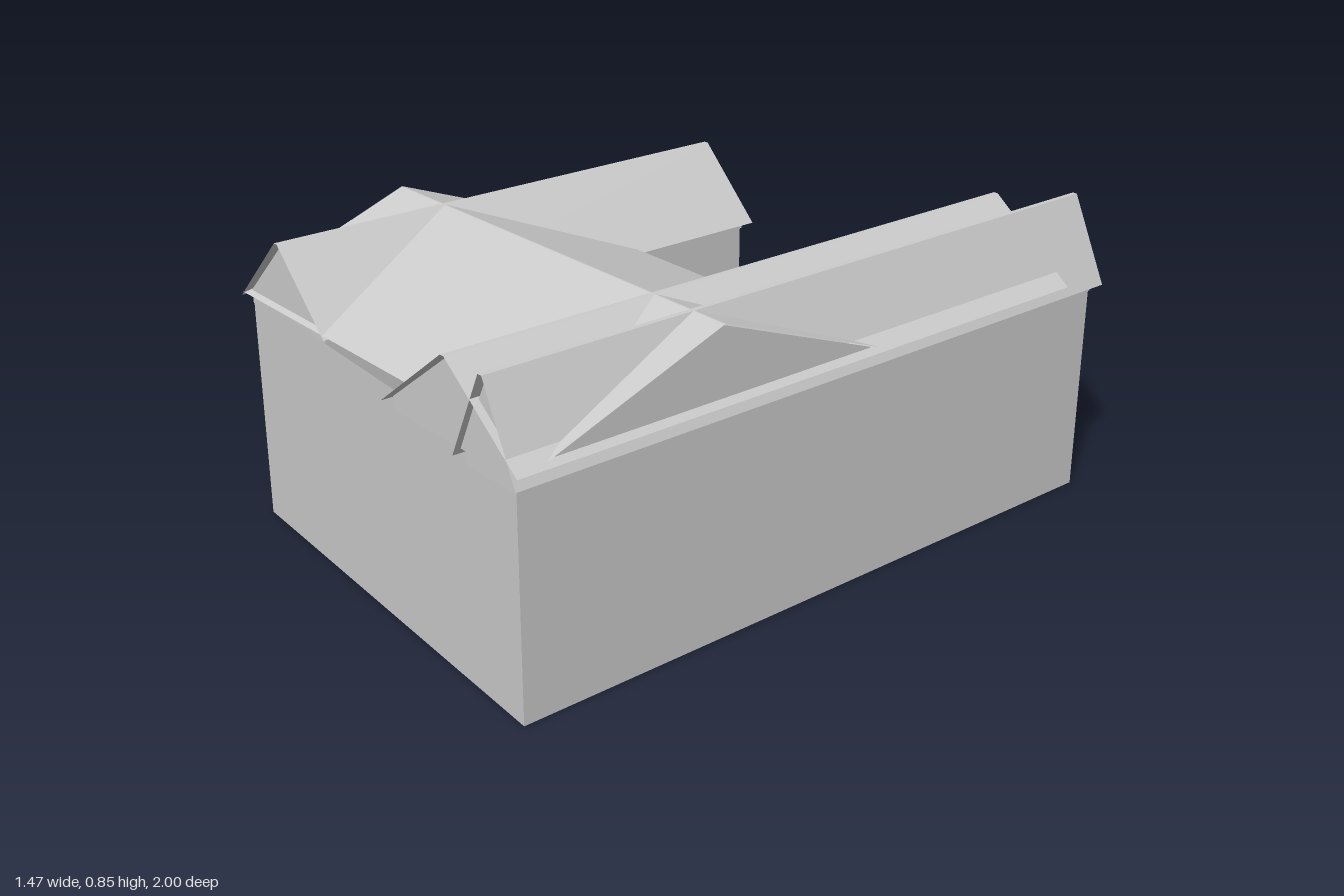
import * as THREE from 'three';

const material = new THREE.MeshStandardMaterial({ color: 0xcccccc, flatShading: true, side: THREE.DoubleSide });
const RIDGE = 0.845;

// Flat polygons (counter-clockwise from outside), each fanned into triangles
function polygons(name, faces) {
  const pos = [];
  for (const f of faces)
    for (let i = 1; i < f.length - 1; i++) pos.push(...f[0], ...f[i], ...f[i + 1]);
  const geo = new THREE.BufferGeometry();
  geo.setAttribute('position', new THREE.Float32BufferAttribute(pos, 3));
  geo.computeVertexNormals();
  const mesh = new THREE.Mesh(geo, material);
  mesh.name = name;
  return mesh;
}

// Gabled roof running along z: open slopes with a narrow flat ridge, and gable walls set in from both ends
function gableRoof(name, { center, half, eave, back, front, cap = 0.007, inset = 0.02 }) {
  const group = new THREE.Group();
  group.name = name;
  const profile = [[-half, eave], [-cap, RIDGE], [cap, RIDGE], [half, eave]];
  const slopes = [];
  for (let i = 0; i < 3; i++) {
    const [x0, y0] = profile[i], [x1, y1] = profile[i + 1];
    slopes.push([[x0, y0, back], [x0, y0, front], [x1, y1, front], [x1, y1, back]]);
  }
  const w = half - 0.025, y = RIDGE - 0.004;
  const low = eave + (RIDGE - eave) * 0.025 / half - 0.004;
  const gable = (z) => [[-w, eave - 0.02, z], [w, eave - 0.02, z], [w, low, z], [0, y, z], [-w, low, z]];
  group.add(
    polygons(name + 'Slopes', slopes),
    polygons(name + 'Gables', [gable(front - inset), gable(back + inset).reverse()])
  );
  group.position.x = center;
  return group;
}

export function createModel() {
  const model = new THREE.Group();
  model.name = 'house';
  const body = new THREE.Group();
  body.name = 'houseBody';
  body.rotation.y = -0.055; // the plan is turned slightly
  model.add(body);

  // Outer walls around the U-shaped plan (x, z), open at the bottom
  const plan = [
    [-0.66, 0.858], [0.648, 0.942], [0.648, -1.0], [0.455, -1.0], [0.34, -0.83],
    [0.17, -0.835], [0.17, -0.11], [-0.29, -0.11], [-0.29, -0.55], [-0.66, -0.55],
  ];
  const top = 0.645;
  body.add(polygons('walls', plan.map(([x0, z0], i) => {
    const [x1, z1] = plan[(i + 1) % plan.length];
    return [[x0, 0, z0], [x1, 0, z1], [x1, top, z1], [x0, top, z0]];
  })));

  // Three parallel wing roofs
  body.add(
    gableRoof('leftRoof', { center: 0.555, half: 0.12, eave: 0.61, back: -1.025, front: 0.963 }),
    gableRoof('middleRoof', { center: 0.414, half: 0.271, eave: 0.645, back: -0.86, front: 0.965 }),
    gableRoof('rightRoof', { center: -0.475, half: 0.212, eave: 0.645, back: -0.576, front: 0.879 })
  );

  // Wide cross roof joining the wings, running along x
  const cross = gableRoof('crossRoof', { center: 0, half: 0.51, eave: 0.655, back: -0.683, front: 0.672, cap: 0.002, inset: 0.005 });
  cross.rotation.y = Math.PI / 2;
  cross.position.z = 0.366;
  body.add(cross);

  return model;
}
